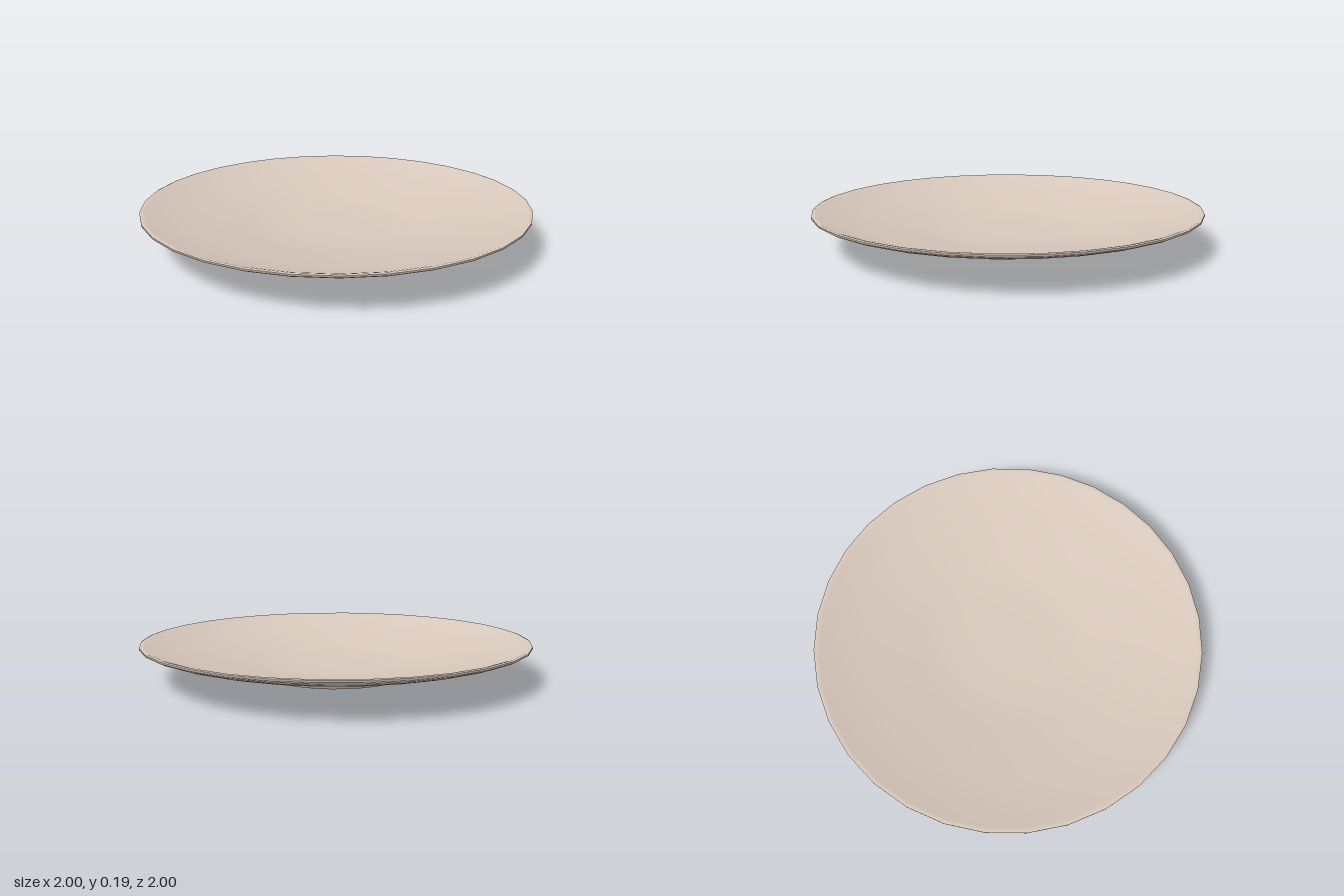
import * as THREE from 'three';

const SEGMENTS = 32;

export function createModel() {
  const group = new THREE.Group();
  group.name = 'plate';

  const ceramic = new THREE.MeshStandardMaterial({ color: 0xd8c8bc });
  ceramic.name = 'warm beige ceramic';

  // Each profile runs from the outside bottom, over the rim, to the inside centre
  const turn = (name, profile) => {
    const points = profile.map(([r, y]) => new THREE.Vector2(r, y));
    const mesh = new THREE.Mesh(new THREE.LatheGeometry(points, SEGMENTS), ceramic);
    mesh.name = name;
    group.add(mesh);
  };

  // Flat underside and short foot ring, kept apart for crisp edges
  turn('footBase', [[0, 0], [0.375, 0]]);
  turn('footRing', [[0.375, 0], [0.388, 0.01], [0.392, 0.034]]);

  // Smooth flared underside up to the rim
  turn('underside', [
    [0.392, 0.034], [0.42, 0.046], [0.47, 0.057], [0.6, 0.08], [0.75, 0.105],
    [0.85, 0.127], [0.93, 0.15], [0.98, 0.168], [1, 0.178], [1, 0.187],
  ]);

  // Thin lip and shallow dished eating surface
  turn('dish', [
    [1, 0.187], [0.99, 0.19], [0.975, 0.186], [0.93, 0.171], [0.85, 0.149],
    [0.75, 0.126], [0.6, 0.099], [0.47, 0.077], [0.38, 0.063], [0.28, 0.055],
    [0.15, 0.053], [0, 0.053],
  ]);

  return group;
}
